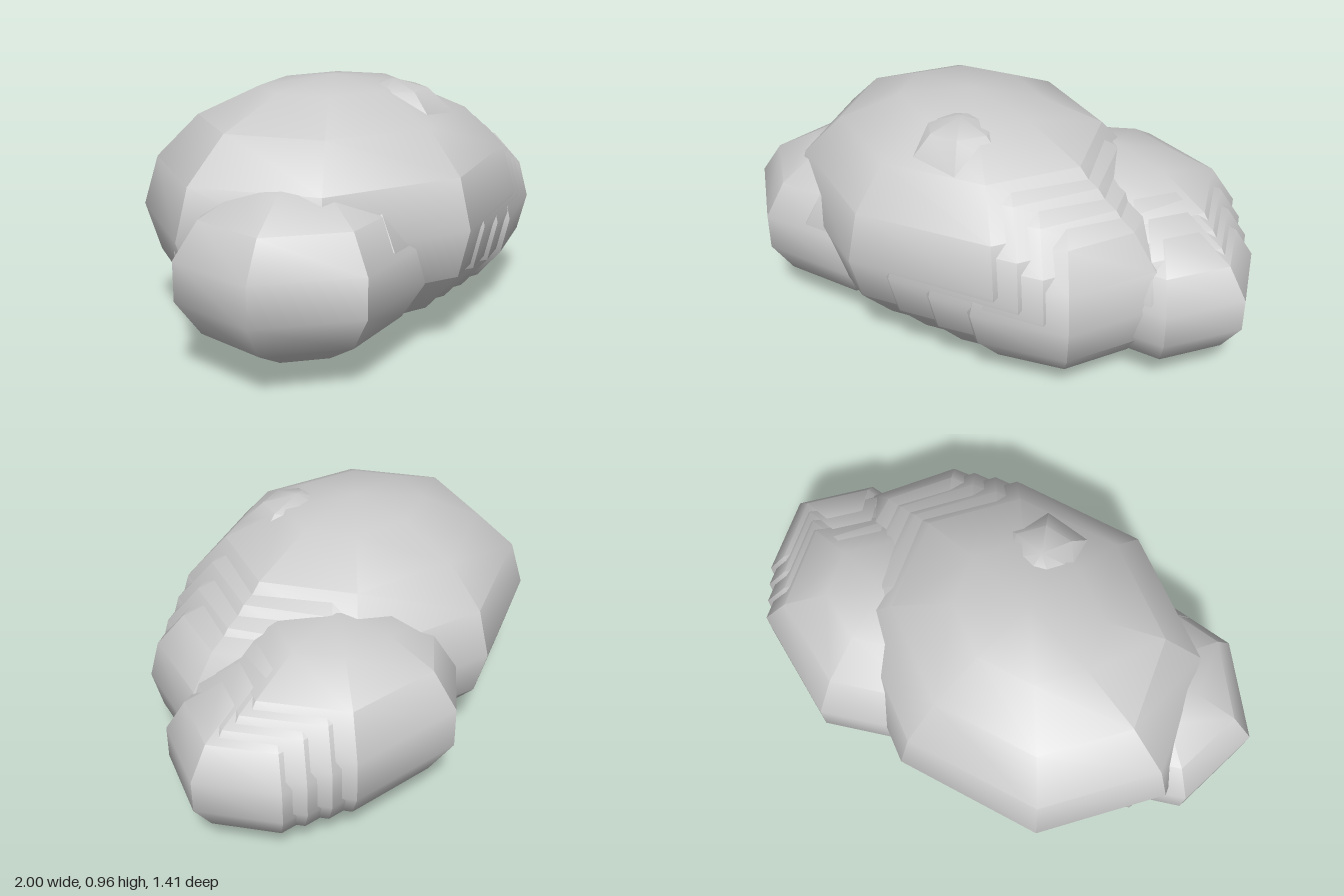
import * as THREE from 'three';
import { toCreasedNormals } from 'three/addons/utils/BufferGeometryUtils.js';

const material = new THREE.MeshStandardMaterial({ color: 0xcccccc });

// Low-poly ellipsoid with one corner pointing to +x
function lump(name, sides, centre, radii) {
  const geometry = new THREE.SphereGeometry(1, sides, sides);
  geometry.rotateY(Math.PI);
  geometry.scale(...radii);
  const mesh = new THREE.Mesh(toCreasedNormals(geometry, 0.6), material);
  mesh.name = name;
  mesh.position.set(...centre);
  return mesh;
}

// Row of lumps shrinking evenly from one ellipsoid to another
function chain(name, sides, steps, from, to) {
  const group = new THREE.Group();
  group.name = name;
  const mix = (a, b, t) => a.map((v, i) => THREE.MathUtils.lerp(v, b[i], t));
  for (let i = 0; i <= steps; i++) {
    const t = i / steps;
    group.add(lump(name + 'Lump' + (i + 1), sides,
      mix(from.centre, to.centre, t), mix(from.radii, to.radii, t)));
  }
  return group;
}

export function createModel() {
  const model = new THREE.Group();
  model.name = 'lumpyMound';

  // Large body tapering towards the front left
  model.add(chain('body', 8, 3,
    { centre: [-0.16, 0.483, 0.045], radii: [0.78, 0.478, 0.655] },
    { centre: [0.31, 0.385, 0.045], radii: [0.48, 0.375, 0.5] }));

  // Stepped lobe at the back, tapering outwards
  model.add(chain('backLobe', 7, 3,
    { centre: [0.318, 0.41, -0.256], radii: [0.546, 0.36, 0.48] },
    { centre: [0.6, 0.335, -0.18], radii: [0.41, 0.29, 0.367] }));

  // Front lobe on the other side, with a hidden joining lump
  model.add(lump('frontLobe', 7, [-0.575, 0.375, 0.28], [0.484, 0.325, 0.425]));
  model.add(lump('frontLobeJoin', 7, [-0.37, 0.39, 0.16], [0.57, 0.37, 0.5]));

  // Small bump breaking through the top
  model.add(lump('topBump', 7, [-0.03, 0.6, 0.23], [0.3, 0.35, 0.3]));

  return model;
}
